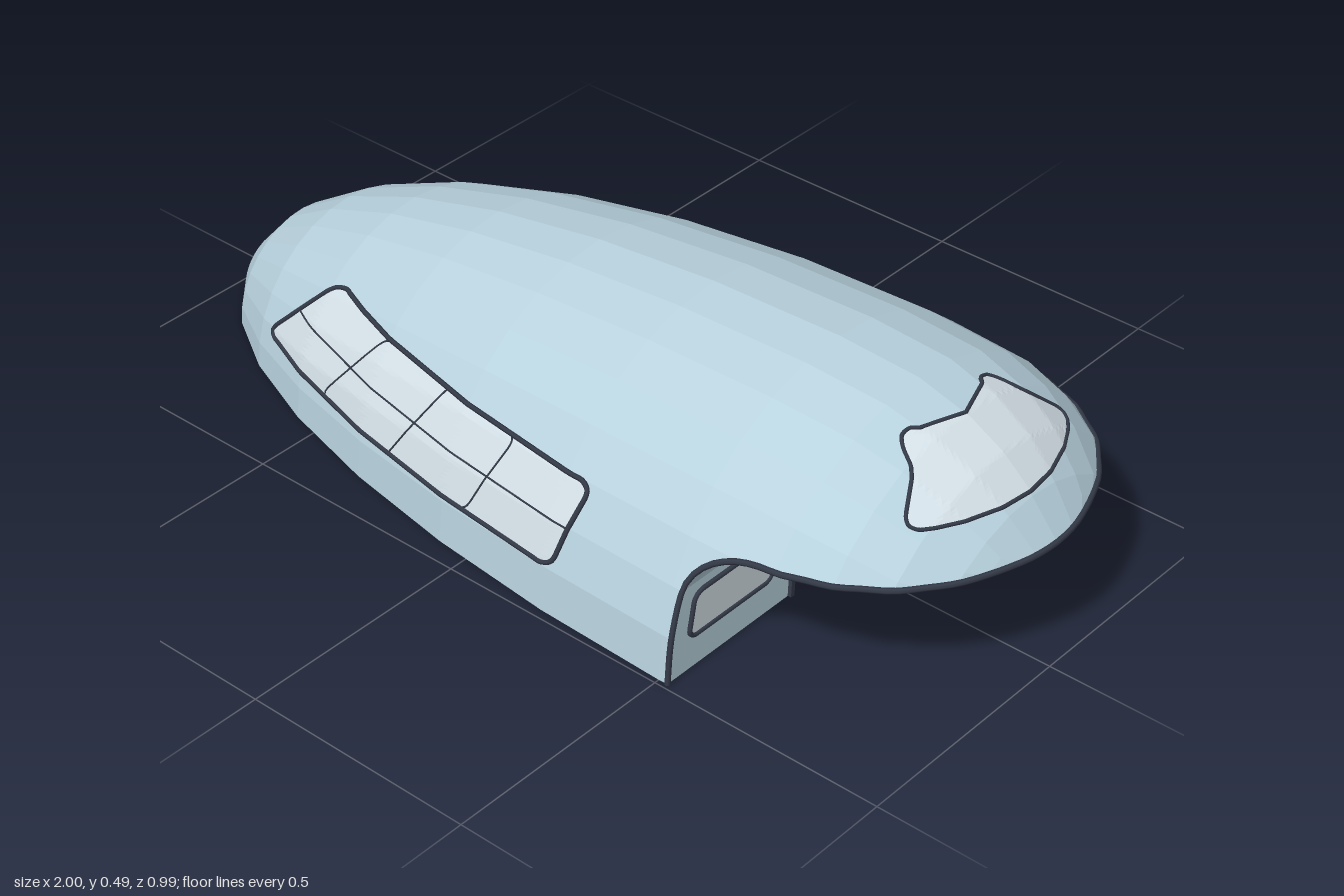
import * as THREE from 'three';

const N = 16, D = Math.PI / N, R = 0.49, CUT = 0.52;
const V = (x, y, z) => new THREE.Vector3(x, y, z);
const mat = (color, flatShading = true) =>
  new THREE.MeshStandardMaterial({ color, flatShading, side: THREE.DoubleSide });
const hullMat = mat(0xb8d2de), soffitMat = mat(0xb8d2de, false);
const glassMat = mat(0xd3dfe6), trimMat = mat(0x343a48, false);

// Hull profile as [x, radius]: long elliptical tail, short blunt nose
const profile = [];
for (let i = 0; i <= 8; i++) {
  const a = (8 - i) * D;
  profile.push([0.5 - 1.5 * Math.sin(a), R * Math.cos(a)]);
}
profile.push([0.68, 0.481], [0.78, 0.453], [0.865, 0.407], [0.935, 0.346], [0.994, 0.275]);

// Linear lookup through the profile, from column `from` to column `to`
function lookup(pts, v, from, to) {
  for (let i = 1; i < pts.length; i++) {
    const a = pts[i - 1], b = pts[i];
    if ((v - a[from]) * (v - b[from]) <= 0 && a[from] !== b[from])
      return a[to] + (b[to] - a[to]) * (v - a[from]) / (b[from] - a[from]);
  }
  return pts[pts.length - 1][to];
}
const radius = x => lookup(profile, x, 0, 1);

// Point on the half polygon cross-section; u runs 0..N over the top
function section(u) {
  const j = Math.min(Math.floor(u), N - 1), t = u - j, k = j + 1;
  return [
    Math.cos(j * D) * (1 - t) + Math.cos(k * D) * t,
    Math.sin(j * D) * (1 - t) + Math.sin(k * D) * t,
  ];
}
function uAtHeight(s) {
  if (s >= 0.9999) return N / 2;
  const j = Math.floor(Math.asin(s) / D);
  return j + (s - Math.sin(j * D)) / (Math.sin((j + 1) * D) - Math.sin(j * D));
}
const hullZ = (x, y) => radius(x) * section(uAtHeight(y / radius(x)))[0];

// Underside height of the nose: a rounded cove, then flat
const soffitY = x => x >= 0.66 ? 0.275 : 0.185 + 0.09 * Math.sqrt(1 - ((0.66 - x) / 0.14) ** 2);

// Quad grid from rows of points
function grid(rows) {
  const pos = rows.flat().flatMap(p => [p.x, p.y, p.z]), idx = [], w = rows[0].length;
  for (let i = 0; i < rows.length - 1; i++)
    for (let j = 0; j < w - 1; j++) {
      const a = i * w + j, b = a + w;
      idx.push(a, b, b + 1, a, b + 1, a + 1);
    }
  const g = new THREE.BufferGeometry();
  g.setAttribute('position', new THREE.Float32BufferAttribute(pos, 3));
  g.setIndex(idx);
  g.computeVertexNormals();
  return g;
}
function add(parent, name, geometry, material) {
  const m = new THREE.Mesh(geometry, material);
  m.name = name;
  parent.add(m);
  return m;
}
function tube(parent, name, pts, r, closed = false) {
  const curve = new THREE.CatmullRomCurve3(pts, closed, 'centripetal');
  return add(parent, name, new THREE.TubeGeometry(curve, pts.length * 2, r, 6, closed), trimMat);
}
function ring(x, r, u0 = 0) {
  return Array.from({ length: 2 * N + 1 }, (_, j) => {
    const [z, y] = section(Math.min(Math.max(j / 2, u0), N - u0));
    return V(x, y * r, z * r);
  });
}

// Rounded four-sided pane laid on a surface, with a dark frame.
// corners: bottom-left, bottom-right, top-right, top-left
function pane(parent, name, corners, project, { round = 0.025, frame = 0.005, cols = 28, bars = 0, fold = false } = {}) {
  const g = new THREE.Group();
  g.name = name;
  const [bl, br, tr, tl] = corners;
  const height = tl[1] - bl[1], rows = [], rowsN = 20;
  const at = (s, t) => {
    const y = bl[1] + height * t;
    const d = Math.max(0, round - Math.min(y - bl[1], tl[1] - y));
    const inset = round - Math.sqrt(Math.max(0, round * round - d * d));
    const l = bl[0] + (tl[0] - bl[0]) * t, r = br[0] + (tr[0] - br[0]) * t;
    const dir = Math.sign(r - l);
    return project(l + dir * inset + (r - l - 2 * dir * inset) * s, y);
  };
  for (let i = 0; i <= rowsN; i++)
    rows.push(Array.from({ length: cols + 1 }, (_, j) => at(j / cols, i / rowsN)));
  add(g, 'glass', grid(rows), glassMat);
  const edge = [
    ...rows[0], ...rows.slice(1, -1).map(r => r[cols]),
    ...[...rows[rowsN]].reverse(), ...rows.slice(1, -1).reverse().map(r => r[0]),
  ];
  tube(g, 'windowFrame', edge, frame, true);
  for (let b = 1; b <= bars; b++)
    tube(g, 'mullion', rows.map((_, i) => at(b / (bars + 1), i / rowsN)), 0.002);
  if (fold) tube(g, 'crossbar', rows[rowsN / 2], 0.002);
  parent.add(g);
}

export function createModel() {
  const model = new THREE.Group();
  model.name = 'shelter';

  // Main shell: outer skin, inner skin and the rim joining them
  const body = [...profile.filter(p => p[0] < CUT), [CUT, radius(CUT)]];
  const inner = body.map(([x, r]) => [Math.min(0.5 + (x - 0.5) * 0.985, CUT), r * 0.97]);
  add(model, 'outerShell', grid(body.map(p => ring(...p))), hullMat);
  add(model, 'innerShell', grid(inner.map(p => ring(...p))), hullMat);
  for (const s of [1, -1])
    add(model, 'baseRim', grid([body, inner].map(b => b.map(([x, r]) => V(x, 0, s * r)))), hullMat);

  // Overhanging nose and its underside
  const xs = [0.52, 0.523, 0.53, 0.543, 0.56, 0.585, 0.615, 0.66, 0.68, 0.73, 0.78, 0.82, 0.865, 0.9, 0.935, 0.96, 0.98, 0.989, 0.994];
  add(model, 'noseShell', grid(xs.map(x => ring(x, radius(x), uAtHeight(soffitY(x) / radius(x))))), hullMat);
  const edge = xs.map(x => V(x, soffitY(x), hullZ(x, soffitY(x))));
  add(model, 'soffit', grid(edge.map(p => [V(p.x, p.y, -p.z), p])), soffitMat);

  // End wall with a tapered doorway cut from its base
  const wallEdge = [0, R * Math.sin(D), 0.185].map(y => [hullZ(CUT, y), y]);
  const door = [[0.147, 0], [0.138, 0.174]];
  const flip = pts => pts.map(([z, y]) => [-z, y]);
  const outline = [
    ...wallEdge, ...flip(wallEdge).reverse(), ...flip(door), ...[...door].reverse(),
  ].map(p => new THREE.Vector2(...p));
  const wall = add(model, 'endWall', new THREE.ShapeGeometry(new THREE.Shape(outline)), hullMat);
  wall.rotation.y = Math.PI / 2;
  wall.position.x = CUT;

  // Door frame posts and lintel
  const frame = new THREE.Group();
  frame.name = 'doorFrame';
  for (const s of [1, -1]) {
    const post = add(frame, 'doorPost', new THREE.BoxGeometry(0.016, 0.176, 0.01), trimMat);
    post.position.set(CUT, 0.088, s * 0.1425);
    post.rotation.x = -s * 0.051;
  }
  add(frame, 'lintel', new THREE.BoxGeometry(0.016, 0.009, 0.284), trimMat).position.set(CUT, 0.174, 0);
  model.add(frame);

  // Dark trim along the cut edge
  const half = [...wallEdge.slice(0, 2).map(([z, y]) => V(CUT, y, z)), ...edge];
  const mirrored = half.slice(0, -1).reverse().map(p => V(p.x, p.y, -p.z));
  tube(model, 'edgeTrim', [...half, ...mirrored], 0.006);

  // Ring lamp under the nose
  const lamp = add(model, 'ringLamp', new THREE.TorusGeometry(0.115, 0.01, 8, 40), trimMat);
  lamp.rotation.x = Math.PI / 2;
  lamp.position.set(0.775, 0.27, 0);

  // Side and end-wall windows, mirrored, shown on both faces
  const sideWindow = [[-0.71, 0.102], [0.225, 0.102], [0.268, 0.268], [-0.54, 0.268]];
  const endWindow = [[0.436, 0.072], [0.202, 0.072], [0.205, 0.164], [0.418, 0.164]];
  for (const s of [1, -1]) {
    for (const off of [0.004, -0.026])
      pane(model, 'sideWindow', sideWindow, (x, y) => V(x, y, s * (hullZ(x, y) + off)),
        { cols: 48, bars: 3, fold: true });
    for (const off of [0.003, -0.003])
      pane(model, 'endWindow', endWindow, (z, y) => V(CUT + off, y, s * z), { round: 0.02 });
  }

  // Nose window wrapped over the front facets
  const noseSide = profile.slice(8);
  const onNose = (z, y) => {
    const a = Math.atan2(y, z) % D;
    const r = Math.hypot(y, z) * Math.cos(a - D / 2) / Math.cos(D / 2);
    return V(lookup(noseSide, r, 1, 0) + 0.004, y + 0.002, z);
  };
  pane(model, 'noseWindow', [[0.238, 0.353], [-0.238, 0.353], [-0.122, 0.453], [0.122, 0.453]], onNose,
    { round: 0.02, frame: 0.004, cols: 36 });

  return model;
}
